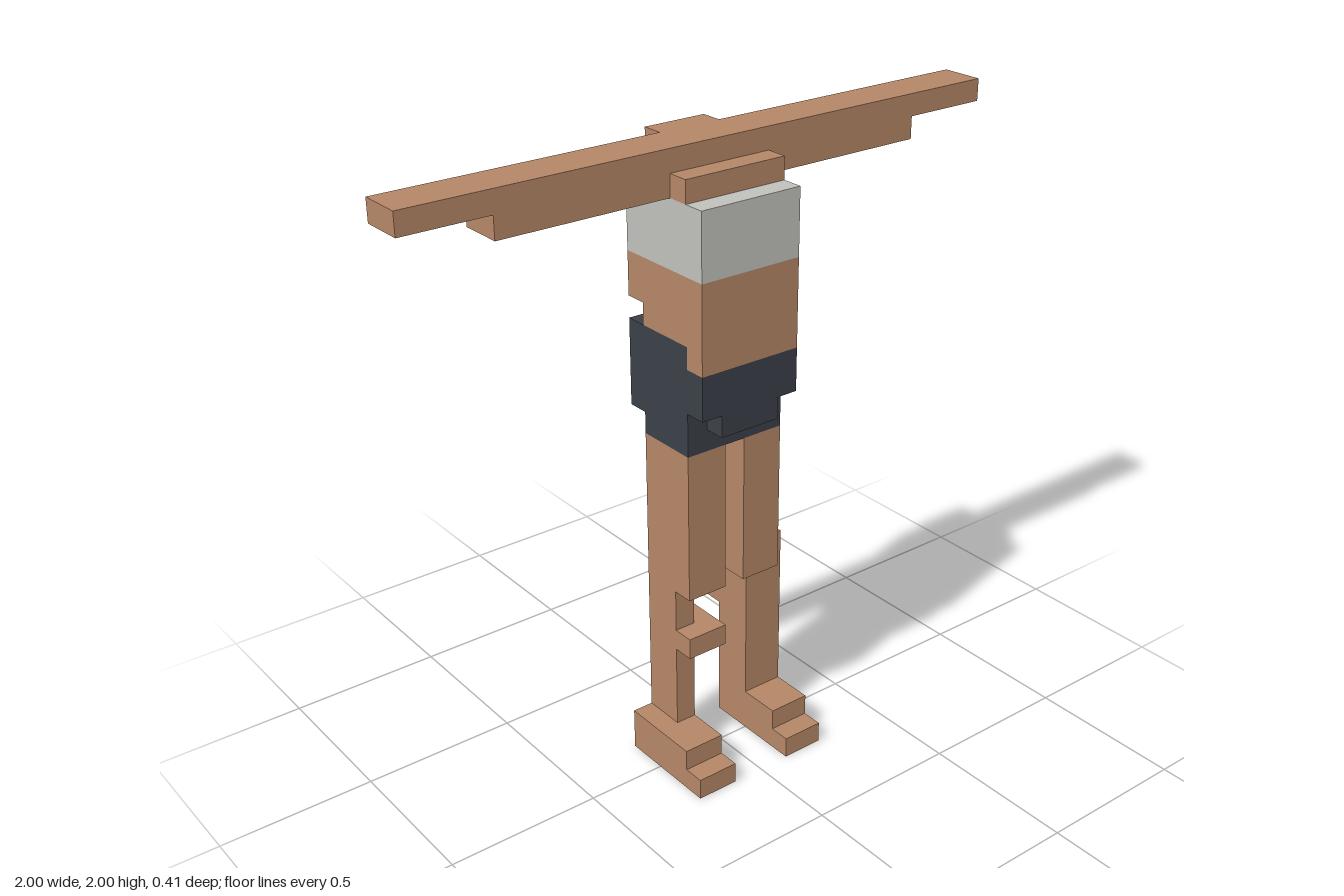
import * as THREE from 'three';

const U = 2 / 29; // one block

export function createModel() {
  const model = new THREE.Group();
  model.name = 'blockFigure';
  const material = (name, color) => {
    const m = new THREE.MeshStandardMaterial({ color });
    m.name = name;
    return m;
  };
  const skin = material('skin', 0xb48667);
  const bandage = material('lightGrey', 0xc0c1bb);
  const cloth = material('darkCloth', 0x3b4048);

  const group = (name) => {
    const g = new THREE.Group();
    g.name = name;
    model.add(g);
    return g;
  };
  // Box given by its limits in blocks
  const block = (parent, name, mat, [x0, x1], [y0, y1], [z0, z1]) => {
    const geo = new THREE.BoxGeometry((x1 - x0) * U, (y1 - y0) * U, (z1 - z0) * U);
    const mesh = new THREE.Mesh(geo, mat);
    mesh.name = name;
    mesh.position.set((x0 + x1) / 2 * U, (y0 + y1) / 2 * U, (z0 + z1) / 2 * U);
    parent.add(mesh);
  };
  const wide = [-2.5, 2.5];
  const narrow = [-1.5, 1.5];

  // Outstretched arms and shoulders
  const arms = group('arms');
  block(arms, 'armsUpper', skin, [-14.5, 14.5], [28, 29], [-2, 0]);
  block(arms, 'armsLower', skin, [-10.5, 10.5], [27, 28], [-2, 0]);
  block(arms, 'collar', skin, wide, [27, 28], [0, 1]);
  block(arms, 'shoulderBlades', skin, wide, [27, 28], [-3, -2]);
  block(arms, 'nape', skin, narrow, [28, 29], [-3, -2]);

  // Torso
  const torso = group('torso');
  block(torso, 'chestBand', bandage, wide, [24, 27], [-3, 2]);
  block(torso, 'ribs', skin, wide, [22, 24], [-3, 2]);
  block(torso, 'waist', skin, wide, [21, 22], [-2, 2]);
  block(torso, 'belly', skin, wide, [20, 21], [1, 2]);

  // Shorts
  const shorts = group('shorts');
  block(shorts, 'shortsCore', cloth, wide, [16, 21], [-2, 1]);
  block(shorts, 'shortsSeat', cloth, wide, [17, 21], [-3, -2]);
  block(shorts, 'shortsFront', cloth, wide, [18, 20], [1, 2]);
  block(shorts, 'shortsFlap', cloth, narrow, [17, 18], [1, 2]);

  // Parts shared by both legs
  for (const [side, s] of [['left', 1], ['right', -1]]) {
    const leg = group(side + 'Leg');
    const span = (a, b) => (s > 0 ? [a, b] : [-b, -a]);
    block(leg, 'thigh', skin, span(0.5, 2.5), [9, 16], [-2, 1]);
    block(leg, 'foot', skin, span(1.5, 3.5), [0, 2], [-2, 2]);
    block(leg, 'toes', skin, span(1.5, 3.5), [0, 1], [2, 3]);
    // The lower legs differ
    if (s > 0) {
      block(leg, 'shin', skin, [1.5, 3.5], [2, 10], [-2, 0]);
      block(leg, 'calf', skin, [1.5, 3.5], [6, 7], [-3, -2]);
    } else {
      block(leg, 'shin', skin, [-2.5, -1.5], [2, 9], [-2, 0]);
      block(leg, 'calf', skin, [-2.5, -0.5], [6, 7], [-2, 1]);
    }
  }
  return model;
}
